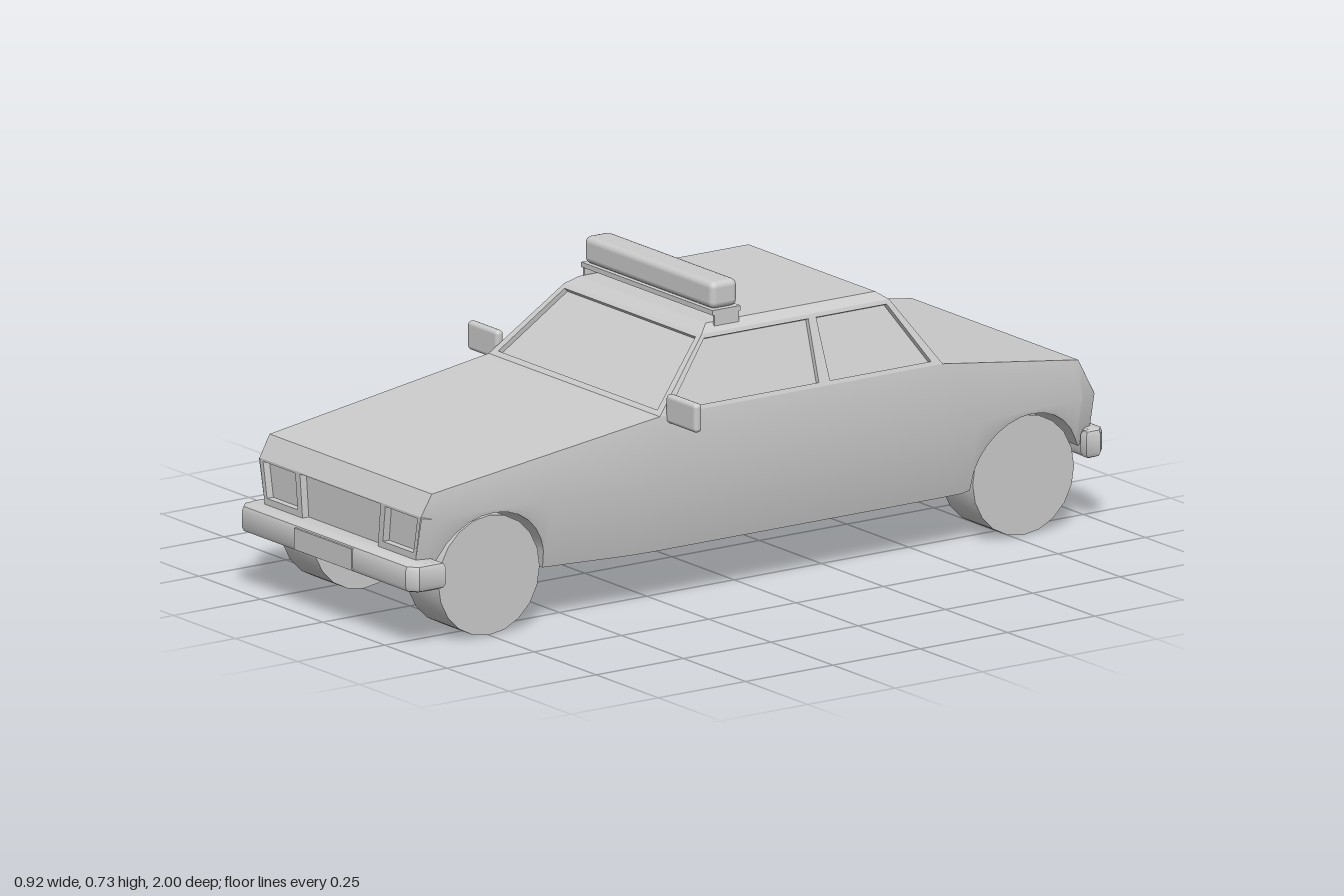
import * as THREE from 'three';
import { toCreasedNormals } from 'three/addons/utils/BufferGeometryUtils.js';
import { RoundedBoxGeometry } from 'three/addons/geometries/RoundedBoxGeometry.js';

const material = new THREE.MeshStandardMaterial({ color: 0xcccccc, side: THREE.DoubleSide });

const AXLES = [0.75, -0.78];
const WHEEL_R = 0.145;
const ARCH_R = 0.157;

function part(name, geometry, x = 0, y = 0, z = 0) {
  const mesh = new THREE.Mesh(geometry, material);
  mesh.name = name;
  mesh.position.set(x, y, z);
  return mesh;
}

// Quads (four corners each, counter-clockwise from outside) to a creased geometry
function quadGeometry(quads, crease = 0.45) {
  const pos = [];
  for (const [a, b, c, d] of quads) for (const p of [a, b, c, a, c, d]) pos.push(p.x, p.y, p.z);
  const g = new THREE.BufferGeometry();
  g.setAttribute('position', new THREE.Float32BufferAttribute(pos, 3));
  return toCreasedNormals(g, crease);
}

// Four-cornered panel with recessed openings given as [u0, u1, v0, v1]
function framedPanel(name, insetName, corners, openings, depth) {
  const [a, b, c, d] = corners.map((p) => new THREE.Vector3(...p));
  const inward = b.clone().sub(a).cross(d.clone().sub(a)).normalize().multiplyScalar(-depth);
  const at = (u, v) => a.clone().lerp(b, u).lerp(d.clone().lerp(c, u), v);
  const cell = (u0, u1, v0, v1) => [at(u0, v0), at(u1, v0), at(u1, v1), at(u0, v1)];
  const frame = [], insets = [];
  let u = 0;
  for (const [u0, u1, v0, v1] of openings) {
    frame.push(cell(u, u0, 0, 1), cell(u0, u1, 0, v0), cell(u0, u1, v1, 1));
    const rim = cell(u0, u1, v0, v1);
    const sunk = rim.map((p) => p.clone().add(inward));
    rim.forEach((p, i) => {
      const j = (i + 1) % 4;
      frame.push([p, rim[j], sunk[j], sunk[i]]);
    });
    insets.push(sunk);
    u = u1;
  }
  frame.push(cell(u, 1, 0, 1));
  const group = new THREE.Group();
  group.name = name;
  group.add(part(name + 'Frame', quadGeometry(frame, 0.1)), part(insetName, quadGeometry(insets, 0.1)));
  return group;
}

// Linear lookup in rows sorted by falling z
function lookup(rows, z) {
  let i = 0;
  while (i < rows.length - 2 && z < rows[i + 1][0]) i++;
  const t = (z - rows[i][0]) / (rows[i + 1][0] - rows[i][0]);
  return rows[i].map((v, k) => v + (rows[i + 1][k] - v) * t);
}

// z, half width at shoulder, shoulder height, half width at waist, waist height
const SECTIONS = [
  [0.95, 0.325, 0.318, 0.327, 0.315],
  [0.92, 0.327, 0.37, 0.335, 0.31],
  [0.28, 0.345, 0.46, 0.366, 0.31],
  [-0.53, 0.345, 0.46, 0.366, 0.31],
  [-0.925, 0.335, 0.405, 0.35, 0.31],
  [-0.97, 0.335, 0.32, 0.337, 0.317],
];
const FLOOR = [[0.95, 0.2], [0.6, 0.138], [0.35, 0.13], [-0.6, 0.13], [-0.97, 0.2]];

// Lower body lofted along z, its lower edge rising over the wheels
function bodyGeometry() {
  const stations = [...SECTIONS, ...FLOOR].map((r) => r[0]);
  for (const axle of AXLES)
    for (let k = 0; k <= 14; k++) stations.push(axle + ARCH_R * Math.cos((k * Math.PI) / 14));
  const zs = [...new Set(stations)].sort((p, q) => q - p);
  const rings = zs.map((z) => {
    const [, wt, yt, wm, ym] = lookup(SECTIONS, z);
    const floor = lookup(FLOOR, z)[1];
    let edge = floor;
    for (const axle of AXLES) {
      const dz = Math.abs(z - axle);
      if (dz < ARCH_R) edge = Math.max(edge, WHEEL_R + Math.sqrt(ARCH_R ** 2 - dz ** 2));
    }
    edge = Math.min(edge, ym - 0.003);
    const wb = wm - (ym - edge) * 0.22;
    const left = [[wt, yt], [wm, ym], [wb, edge], [0.17, edge], [0.17, floor]];
    const right = left.map(([x, y]) => [-x, y]);
    return [...right, ...left.reverse()].map(([x, y]) => new THREE.Vector3(x, y, z));
  });
  const quads = [];
  for (let i = 0; i < rings.length - 1; i++)
    for (let j = 0; j < 10; j++) {
      const k = (j + 1) % 10;
      quads.push([rings[i][k], rings[i][j], rings[i + 1][j], rings[i + 1][k]]);
    }
  return quadGeometry(quads);
}

// Wraparound bumper, facing +z, with its number plate
function bumper(name, height, back) {
  const b = 0.014;
  const half = [[0.33, 0.997], [0.355, 0.975], [0.355, back], [0.33, back], [0.33, 0.94]];
  const outline = [...half, ...half.map(([x, z]) => [-x, z]).reverse()];
  const shape = new THREE.Shape(outline.map(([x, z]) => new THREE.Vector2(x, z)));
  const g = new THREE.ExtrudeGeometry(shape, {
    depth: height - 2 * b, bevelThickness: b, bevelSize: b, bevelOffset: -b, bevelSegments: 2,
  });
  g.rotateX(Math.PI / 2).translate(0, height - b, 0);
  const group = new THREE.Group();
  group.name = name;
  group.add(part(name + 'Bar', toCreasedNormals(g, 0.6)));
  group.add(part(name + 'Plate', new THREE.BoxGeometry(0.23, 0.052, 0.01), 0, height / 2, 0.995));
  return group;
}

export function createModel() {
  const car = new THREE.Group();
  car.name = 'car';
  car.add(part('body', bodyGeometry()));

  // Nose with lamps and grille, tail with two lamps
  car.add(framedPanel('nose', 'lampsAndGrille',
    [[-0.302, 0.2, 0.95], [0.302, 0.2, 0.95], [0.325, 0.318, 0.95], [-0.325, 0.318, 0.95]],
    [[0.02, 0.22, 0.22, 0.95], [0.25, 0.75, 0.08, 0.97], [0.78, 0.98, 0.22, 0.95]], 0.018));
  car.add(framedPanel('tail', 'tailLamps',
    [[0.311, 0.2, -0.97], [-0.311, 0.2, -0.97], [-0.335, 0.32, -0.97], [0.335, 0.32, -0.97]],
    [[0.02, 0.32, 0.45, 0.95], [0.68, 0.98, 0.45, 0.95]], 0.015));

  // Cabin: four glazed panels between belt line and roof edge
  const corner = (sx, front, top) =>
    top ? [sx * 0.277, 0.618, front ? 0.112 : -0.425] : [sx * 0.345, 0.46, front ? 0.28 : -0.53];
  const cabinSides = [
    ['windscreen', [-1, true], [1, true], [[0.03, 0.97, 0.06, 0.95]]],
    ['leftWindows', [1, true], [1, false], [[0.025, 0.565, 0.06, 0.94], [0.605, 0.97, 0.06, 0.94]]],
    ['rearWindow', [1, false], [-1, false], [[0.04, 0.96, 0.06, 0.94]]],
    ['rightWindows', [-1, false], [-1, true], [[0.03, 0.395, 0.06, 0.94], [0.435, 0.975, 0.06, 0.94]]],
  ];
  const roof = [];
  const roofCorner = (sx, front) => new THREE.Vector3(sx * 0.255, 0.636, front ? 0.085 : -0.4);
  for (const [name, p, q, openings] of cabinSides) {
    car.add(framedPanel(name, name + 'Glass',
      [corner(...p, false), corner(...q, false), corner(...q, true), corner(...p, true)], openings, 0.012));
    roof.push([new THREE.Vector3(...corner(...p, true)), new THREE.Vector3(...corner(...q, true)),
      roofCorner(...q), roofCorner(...p)]);
  }
  roof.push([roofCorner(-1, true), roofCorner(1, true), roofCorner(1, false), roofCorner(-1, false)]);
  car.add(part('roof', quadGeometry(roof)));

  // Bumpers
  const front = bumper('frontBumper', 0.067, 0.9);
  front.position.y = 0.143;
  const rear = bumper('rearBumper', 0.07, 0.935);
  rear.position.y = 0.165;
  rear.rotation.y = Math.PI;
  car.add(front, rear);

  // Wheels
  const wheel = new THREE.CylinderGeometry(WHEEL_R, WHEEL_R, 0.13, 20).rotateZ(Math.PI / 2);
  for (const z of AXLES) {
    for (const side of [1, -1])
      car.add(part((z > 0 ? 'front' : 'rear') + 'Wheel', toCreasedNormals(wheel, 0.6), side * 0.253, WHEEL_R, z));
  }

  // Door mirrors
  for (const side of [1, -1])
    car.add(part('mirror', new RoundedBoxGeometry(0.122, 0.07, 0.022, 2, 0.01), side * 0.4, 0.476, 0.25));

  // Roof light bar on a plate with two feet
  car.add(part('lightBar', new RoundedBoxGeometry(0.52, 0.066, 0.076, 2, 0.016), 0, 0.698, 0.032));
  car.add(part('lightBarPlate', new THREE.BoxGeometry(0.53, 0.012, 0.08), 0, 0.66, 0.032));
  for (const side of [1, -1])
    car.add(part('lightBarFoot', new THREE.BoxGeometry(0.006, 0.035, 0.07), side * 0.262, 0.642, 0.032));

  return car;
}
